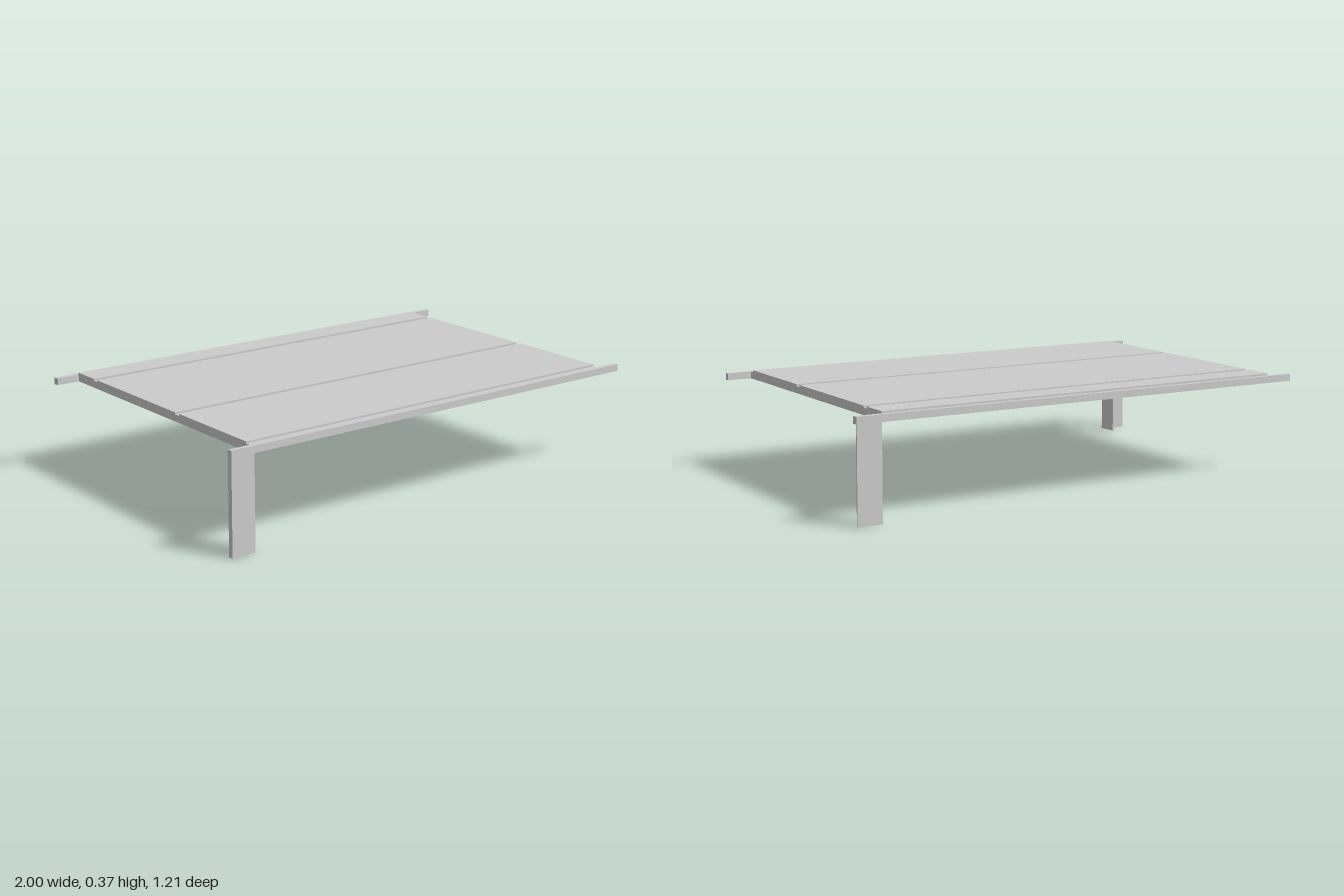
import * as THREE from 'three';

const material = new THREE.MeshStandardMaterial({ color: 0xcccccc, flatShading: true });

// Upright prism from an [x, z] outline between two heights
function prism(name, outline, y0, y1) {
  const shape = new THREE.Shape(outline.map(([x, z]) => new THREE.Vector2(x, -z)));
  const geometry = new THREE.ExtrudeGeometry(shape, { depth: y1 - y0, bevelEnabled: false });
  geometry.rotateX(-Math.PI / 2).translate(0, y0, 0);
  const mesh = new THREE.Mesh(geometry, material);
  mesh.name = name;
  return mesh;
}

const rect = (x0, x1, z0, z1) => [[x0, z1], [x1, z1], [x1, z0], [x0, z0]];

// Strip of the skewed deck between two depths
const SKEW = 0.132;
const left = (z) => -0.835 - SKEW * z;
const right = (z) => 0.817 - SKEW * z;
const strip = (z0, z1) => [[left(z1), z1], [right(z1), z1], [right(z0), z0], [left(z0), z0]];

export function createModel() {
  const model = new THREE.Group();
  model.name = 'skewedPlatform';

  const UNDER = 0.335, DECK = 0.36, TOP = 0.367;

  // Deck slab with three raised panels separated by grooves
  model.add(prism('deck', strip(-0.582, 0.586), UNDER, DECK));
  [[0.14, 0.567], [-0.44, 0.115], [-0.582, -0.465]].forEach(([z0, z1], i) =>
    model.add(prism(`panel${i + 1}`, strip(z0, z1), DECK, TOP)));

  // Edge rails reaching past the deck corners
  model.add(prism('frontRail', rect(-1, 0.835, 0.586, 0.604), UNDER, DECK));
  model.add(prism('backRail', rect(-0.85, 1, -0.604, -0.582), UNDER, DECK));

  // Front leg: angle section with a tapered inner flange
  model.add(prism('frontLeg', [
    [-1, 0.604], [-0.905, 0.604], [-0.9, 0.523], [-0.905, 0.523], [-0.92, 0.586], [-1, 0.586],
  ], 0, UNDER));

  // Back leg: flat plate with a stepped outer edge
  model.add(prism('backLeg', [
    [0.905, -0.582], [0.982, -0.582], [0.982, -0.599], [1, -0.599], [1, -0.604], [0.905, -0.604],
  ], 0, UNDER));

  return model;
}
